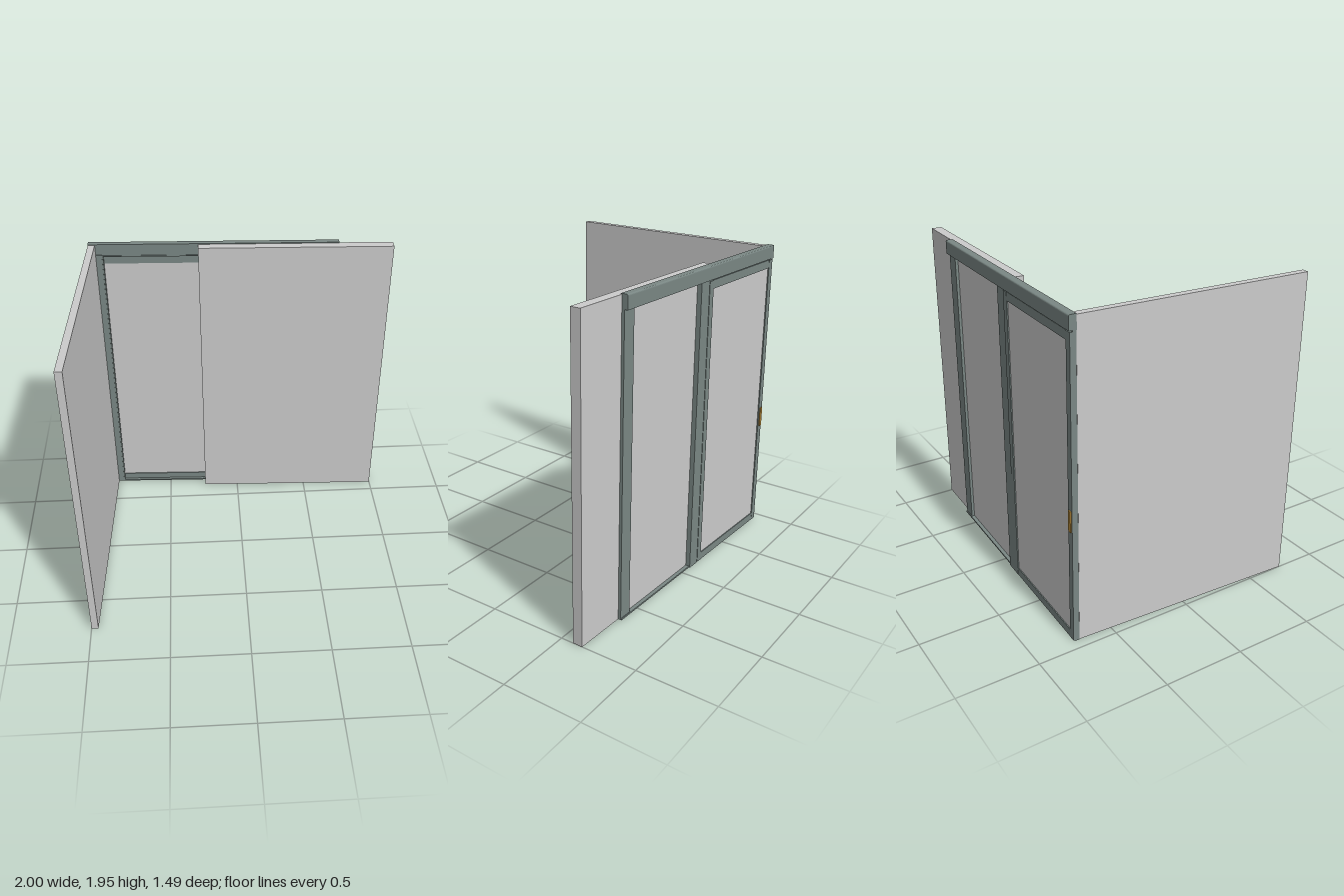
import * as THREE from 'three';

const grey = new THREE.MeshStandardMaterial({ color: 0xcccccc });
const metal = new THREE.MeshStandardMaterial({ color: 0x7a8784 });
const brass = new THREE.MeshStandardMaterial({ color: 0xb98d3c });

// Box given by its extents along x, y and z
function block(parent, name, [x0, x1], [y0, y1], [z0, z1], material = metal) {
  const mesh = new THREE.Mesh(new THREE.BoxGeometry(x1 - x0, y1 - y0, z1 - z0), material);
  mesh.position.set((x0 + x1) / 2, (y0 + y1) / 2, (z0 + z1) / 2);
  mesh.name = name;
  parent.add(mesh);
  return mesh;
}

export function createModel() {
  const model = new THREE.Group();
  model.name = 'slidingDoorCorner';

  // Side wall, slightly turned from the z axis
  const side = new THREE.Group();
  side.name = 'sideWall';
  side.position.set(-0.9135, 0, -0.705);
  side.rotation.y = -0.0445;
  block(side, 'sideWallPanel', [-0.0215, 0.0215], [0, 1.947], [0, 1.447], grey);
  model.add(side);

  // Door assembly: x runs along the door from the corner, z from its back face inward
  const door = new THREE.Group();
  door.name = 'doorAssembly';
  door.position.set(-0.936, 0, -0.75);
  door.rotation.y = -0.035;
  model.add(door);

  block(door, 'frontWall', [0.7, 1.94], [0, 1.947], [0.038, 0.102], grey);

  // Header cover with an eased outer edge
  const profile = new THREE.Shape();
  profile.moveTo(0, 1.868);
  profile.lineTo(0, 1.942);
  profile.quadraticCurveTo(0, 1.952, -0.01, 1.952);
  profile.lineTo(-0.045, 1.952);
  profile.lineTo(-0.045, 1.868);
  const header = new THREE.Mesh(
    new THREE.ExtrudeGeometry(profile, { depth: 1.598, bevelEnabled: false, curveSegments: 5 }), metal);
  header.rotation.y = Math.PI / 2;
  header.position.set(0, 0, 0);
  header.name = 'header';
  door.add(header);
  // Extrusion runs along +x; the profile's -x becomes +z
  block(door, 'headerLip', [0.045, 0.72], [1.868, 1.876], [0.045, 0.049]);

  // Fixed frame posts and sill
  block(door, 'cornerPost', [0, 0.092], [0, 1.868], [0.022, 0.042]);
  block(door, 'cornerPostLip', [0.045, 0.085], [0.01, 1.88], [0.042, 0.047]);
  block(door, 'middlePost', [0.77, 0.858], [0, 1.868], [0.008, 0.042]);
  block(door, 'endPost', [1.51, 1.598], [0, 1.868], [0.02, 0.04]);
  block(door, 'sill', [0, 1.598], [0, 0.01], [0.014, 0.043]);

  // Sliding leaf: stiles, rails and pane
  const leaf = new THREE.Group();
  leaf.name = 'slidingLeaf';
  door.add(leaf);
  for (const [name, x] of [['closingStile', 0], ['meetingStile', 0.73]])
    block(leaf, name, [x, x + 0.042], [0.005, 1.86], [0.005, 0.026]);
  for (const [name, y0, y1] of [['bottomRail', 0.005, 0.055], ['topRail', 1.81, 1.862]])
    block(leaf, name, [0.04, 0.732], [y0, y1], [0.006, 0.025]);
  block(leaf, 'pane', [0.04, 0.732], [0.05, 1.815], [0.012, 0.019], grey);

  // Pull handle on the closing stile
  block(leaf, 'handle', [0.008, 0.032], [0.72, 0.85], [-0.002, 0.008], brass);

  return model;
}
